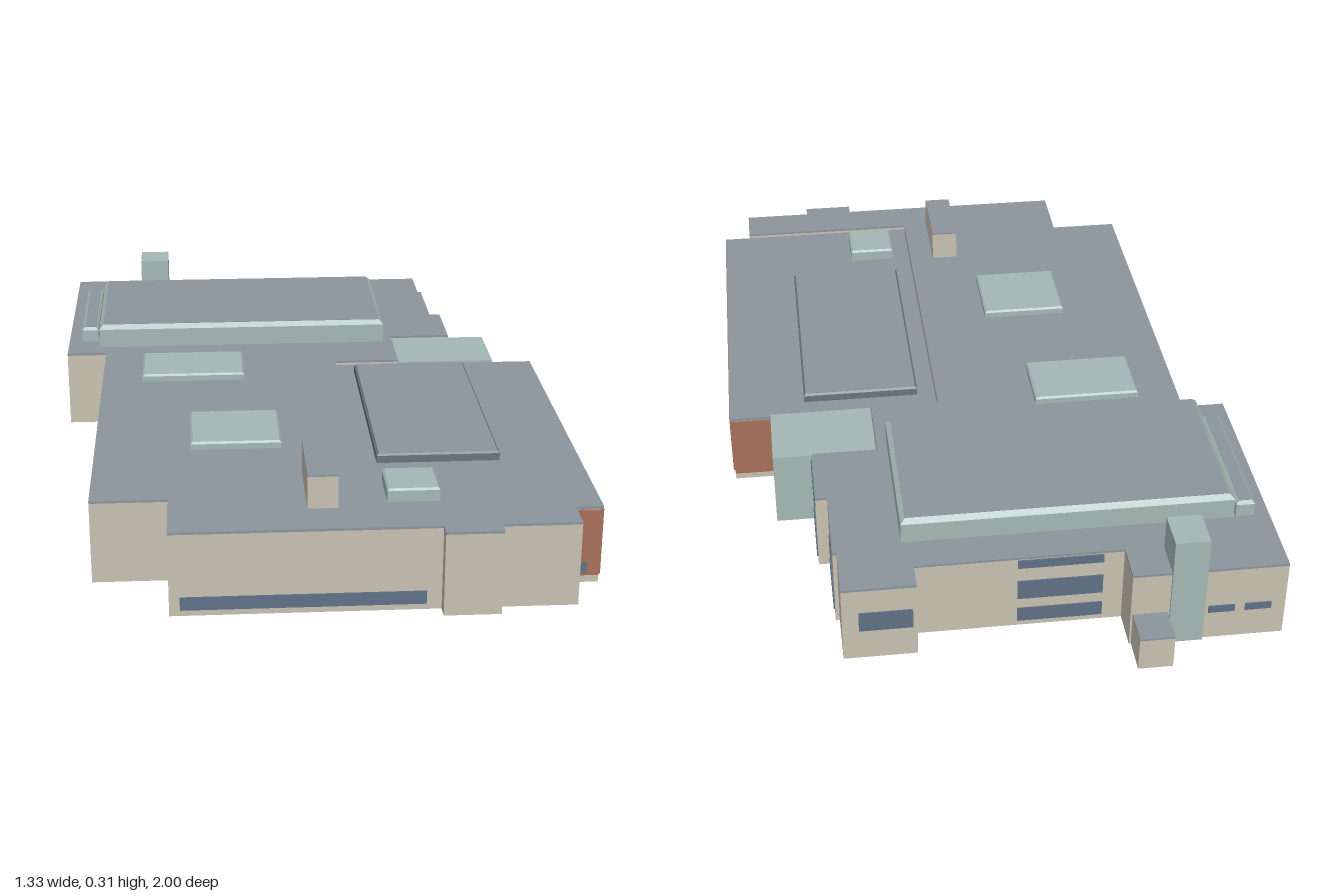
import * as THREE from 'three';

const mat = (name, color, side = THREE.FrontSide) => {
  const m = new THREE.MeshStandardMaterial({ color, side });
  m.name = name;
  return m;
};

export function createModel() {
  const model = new THREE.Group();
  model.name = 'building';
  const wall = mat('beige wall', 0xc9c2b3, THREE.DoubleSide);
  const brick = mat('red brick', 0xa9705c);
  const teal = mat('pale teal metal', 0xa4b8b5, THREE.DoubleSide);
  const roof = mat('grey roof', 0x8c959d);
  const trim = mat('dark roof trim', 0x6a7480);
  const glass = mat('blue grey glass', 0x5f7186);

  const add = (name, geometry, material) => {
    const mesh = new THREE.Mesh(geometry, material);
    mesh.name = name;
    model.add(mesh);
    return mesh;
  };

  // Box from its limits on each axis
  const box = (name, m, x0, x1, y0, y1, z0, z1) => {
    const mesh = add(name, new THREE.BoxGeometry(x1 - x0, y1 - y0, z1 - z0), m);
    mesh.position.set((x0 + x1) / 2, (y0 + y1) / 2, (z0 + z1) / 2);
    return mesh;
  };

  // Open ring of upright walls along an [x, z] outline
  const walls = (name, m, outline, height) => {
    const p = [];
    outline.forEach(([ax, az], i) => {
      const [bx, bz] = outline[(i + 1) % outline.length];
      p.push(ax, 0, az, bx, 0, bz, bx, height, bz, ax, 0, az, bx, height, bz, ax, height, az);
    });
    const g = new THREE.BufferGeometry();
    g.setAttribute('position', new THREE.Float32BufferAttribute(p, 3));
    g.computeVertexNormals();
    add(name, g, m);
  };

  // Flat slab over an [x, z] outline
  const slab = (name, m, outline, y0, y1) => {
    const shape = new THREE.Shape(outline.map(([x, z]) => new THREE.Vector2(x, -z)));
    const g = new THREE.ExtrudeGeometry(shape, { depth: y1 - y0, bevelEnabled: false });
    g.rotateX(-Math.PI / 2).translate(0, y0, 0);
    add(name, g, m);
  };

  // Box whose top edge is chamfered, with an optional thin cover on top
  const chamfered = (name, m, cover, x0, x1, y0, y1, z0, z1, inset) => {
    box(name, m, x0, x1, y0, y1 - inset, z0, z1);
    const w = x1 - x0, d = z1 - z0;
    const g = new THREE.BoxGeometry(w, inset, d).toNonIndexed();
    const p = g.attributes.position;
    for (let i = 0; i < p.count; i++) {
      if (p.getY(i) > 0) {
        p.setX(i, p.getX(i) - Math.sign(p.getX(i)) * inset);
        p.setZ(i, p.getZ(i) - Math.sign(p.getZ(i)) * inset);
      }
    }
    g.computeVertexNormals();
    add(name + ' chamfer', g, m).position.set((x0 + x1) / 2, y1 - inset / 2, (z0 + z1) / 2);
    if (cover) box(name + ' cover', cover, x0 + inset, x1 - inset, y1 - 0.001, y1 + 0.001, z0 + inset, z1 - inset);
  };

  // Rear wing and main block
  const rear = [[-0.66, -0.235], [0.28, -0.235], [0.28, -0.33], [0.45, -0.33], [0.45, -0.52], [0.42, -0.52],
    [0.42, -0.74], [0.41, -0.74], [0.41, -0.88], [0.23, -0.88], [0.23, -0.81], [-0.28, -0.81], [-0.28, -0.91], [-0.66, -0.91]];
  const main = [[-0.55, -0.235], [-0.55, 0.78], [-0.365, 0.78], [-0.365, 0.96], [0.265, 0.96], [0.265, 0.995],
    [0.4, 0.995], [0.4, 0.96], [0.585, 0.96], [0.585, 0.85], [0.1, 0.85], [0.1, -0.13], [0.28, -0.13], [0.28, -0.235]];
  [['rear wing', rear], ['main block', main]].forEach(([name, outline]) => {
    walls(name + ' walls', wall, outline, 0.206);
    slab(name + ' roof', roof, outline, 0.206, 0.212);
  });

  // Side hall with a lower roof
  const hall = [[0.102, 0.848], [0.655, 0.848], [0.655, -0.128], [0.102, -0.128]];
  walls('side hall walls', wall, hall, 0.19);
  slab('side hall ceiling', wall, hall, 0.188, 0.192);
  slab('side hall roof', roof, [[0.102, 0.85], [0.658, 0.85], [0.658, -0.13], [0.102, -0.13]], 0.192, 0.199);

  // Brick cladding on the hall
  box('brick side', brick, 0.655, 0.66, 0.02, 0.19, -0.115, 0.845);
  box('brick front', brick, 0.588, 0.655, 0.02, 0.19, 0.848, 0.853);
  box('brick back', brick, 0.55, 0.655, 0.02, 0.19, -0.133, -0.128);

  // Hall windows
  for (let i = 0; i < 14; i++) {
    const z = 0.803 - i * 0.0638;
    box('hall window', glass, 0.659, 0.662, 0.025, 0.057, z - 0.01, z + 0.01);
  }
  for (const z of [0.005, -0.052]) {
    for (const y of [0.088, 0.115]) box('upper hall window', glass, 0.659, 0.662, y, y + 0.024, z - 0.01, z + 0.01);
  }
  box('hall front window', glass, 0.6, 0.624, 0.027, 0.056, 0.852, 0.855);

  // Teal link between hall and rear wing
  const link = [[0.282, -0.13], [0.55, -0.13], [0.55, -0.328], [0.282, -0.328]];
  walls('link walls', teal, link, 0.195);
  slab('link roof', teal, link, 0.195, 0.205);

  // Window bands
  box('front window band', glass, -0.34, 0.23, 0.015, 0.048, 0.959, 0.963);
  for (const [y0, y1] of [[0.015, 0.052], [0.175, 0.204]]) {
    box('side window band', glass, 0.449, 0.453, y0, y1, -0.505, -0.345);
  }
  box('side window band', glass, 0.419, 0.423, 0.015, 0.052, -0.715, -0.56);
  box('small side window', glass, 0.419, 0.423, 0.1, 0.155, -0.625, -0.595);
  box('back window band', glass, 0.24, 0.37, 0.085, 0.14, -0.883, -0.879);
  for (const [y0, y1] of [[0.015, 0.055], [0.085, 0.14], [0.18, 0.204]]) {
    box('back window band', glass, -0.23, -0.02, y0, y1, -0.813, -0.809);
  }
  for (const x of [-0.59, -0.5]) box('small back window', glass, x - 0.035, x + 0.03, 0.08, 0.1, -0.913, -0.909);
  box('left window band', glass, -0.663, -0.659, 0.085, 0.108, -0.87, -0.29);

  // Rooftop volumes
  chamfered('rear roof hall', teal, roof, -0.57, 0.253, 0.21, 0.277, -0.718, -0.285, 0.012);
  chamfered('narrow roof duct', teal, roof, -0.622, -0.575, 0.21, 0.254, -0.716, -0.337, 0.008);
  chamfered('side hall raised roof', trim, roof, 0.15, 0.457, 0.198, 0.223, -0.073, 0.567, 0.005);
  for (const [x0, x1, z0, z1, y0] of [[-0.44, -0.16, -0.177, 0.002, 0.21], [-0.31, -0.082, 0.275, 0.488, 0.21], [0.152, 0.278, 0.67, 0.797, 0.198]]) {
    chamfered('roof pad', teal, null, x0, x1, y0, 0.232, z0, z1, 0.005);
  }
  box('roof stair box', wall, -0.04, 0.032, 0.21, 0.292, 0.637, 0.85);
  box('roof stair box cover', roof, -0.04, 0.032, 0.292, 0.296, 0.637, 0.85);

  // Rear shaft and low annex
  box('shaft', teal, -0.46, -0.375, 0, 0.306, -0.917, -0.815);
  const annex = [[-0.37, -0.91], [-0.285, -0.91], [-0.285, -1], [-0.37, -1]];
  walls('annex walls', wall, annex, 0.087);
  slab('annex roof', roof, annex, 0.087, 0.092);

  return model;
}
